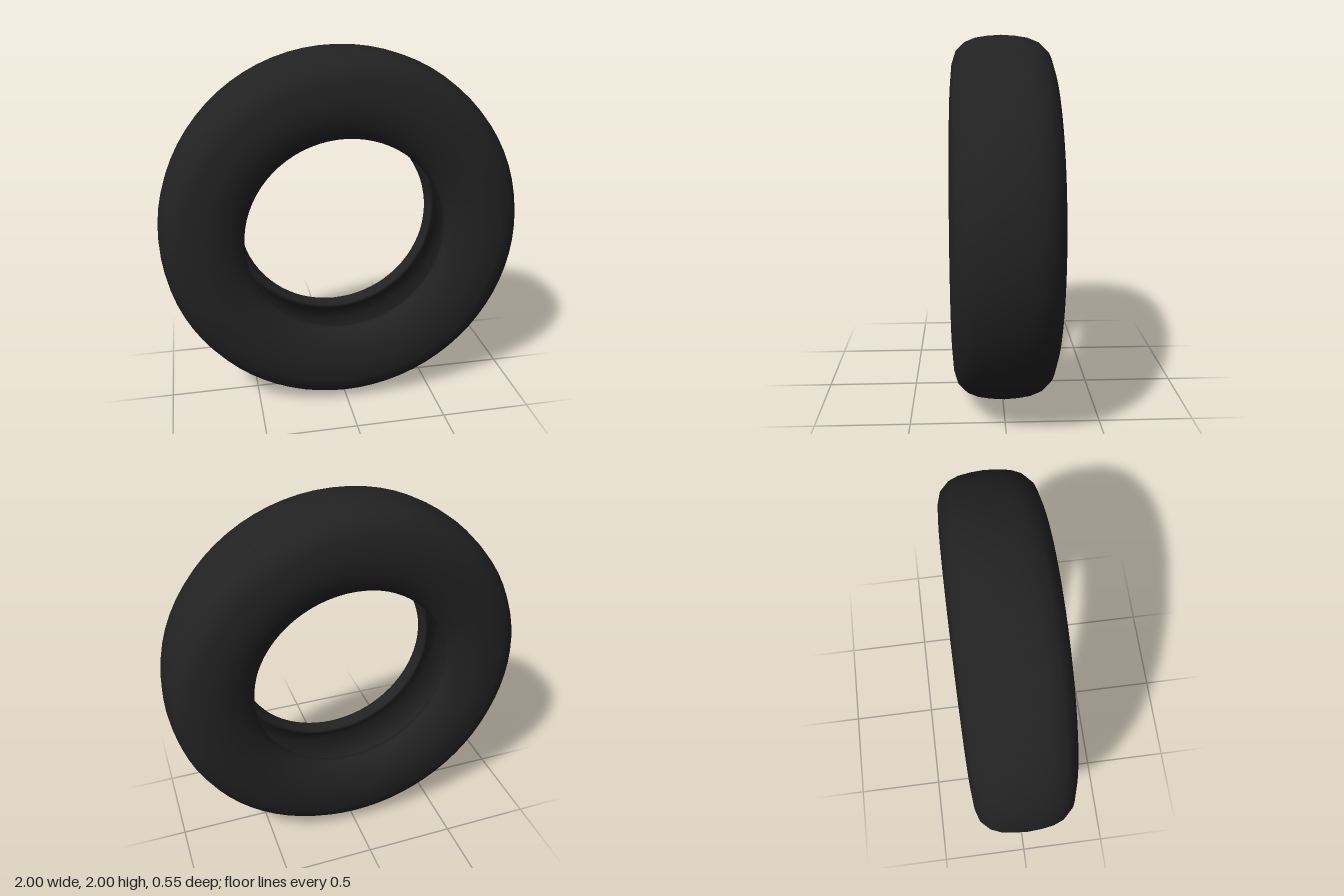
import * as THREE from 'three';

export function createModel() {
  const group = new THREE.Group();
  group.name = 'tire';
  const rubber = new THREE.MeshStandardMaterial({ color: 0x222222 });
  rubber.name = 'blackRubber';

  // Half cross-section as [radius, z]: tread centre, sidewall, bead, then the hollow inside
  const half = [
    [1, 0], [0.995, 0.075], [0.985, 0.14], [0.963, 0.195], [0.915, 0.245],
    [0.85, 0.266], [0.76, 0.274], [0.69, 0.268], [0.63, 0.25], [0.585, 0.225],
    [0.56, 0.203], [0.55, 0.18], [0.556, 0.155], [0.572, 0.132], [0.59, 0.13],
    [0.61, 0.16], [0.65, 0.208], [0.72, 0.235], [0.82, 0.233], [0.89, 0.208],
    [0.93, 0.16], [0.95, 0.08], [0.955, 0],
  ];
  // Mirror it into a closed loop that starts and ends inside the cavity
  const loop = [...half.slice(1).reverse().map(([r, z]) => [r, -z]), ...half];
  const profile = loop.map(([r, z]) => new THREE.Vector2(r, z));

  // Hollow casing turned round the axle
  const casing = new THREE.Mesh(new THREE.LatheGeometry(profile, 72), rubber);
  casing.name = 'tireCasing';
  casing.rotation.x = Math.PI / 2;
  casing.position.y = 1;
  group.add(casing);
  return group;
}
